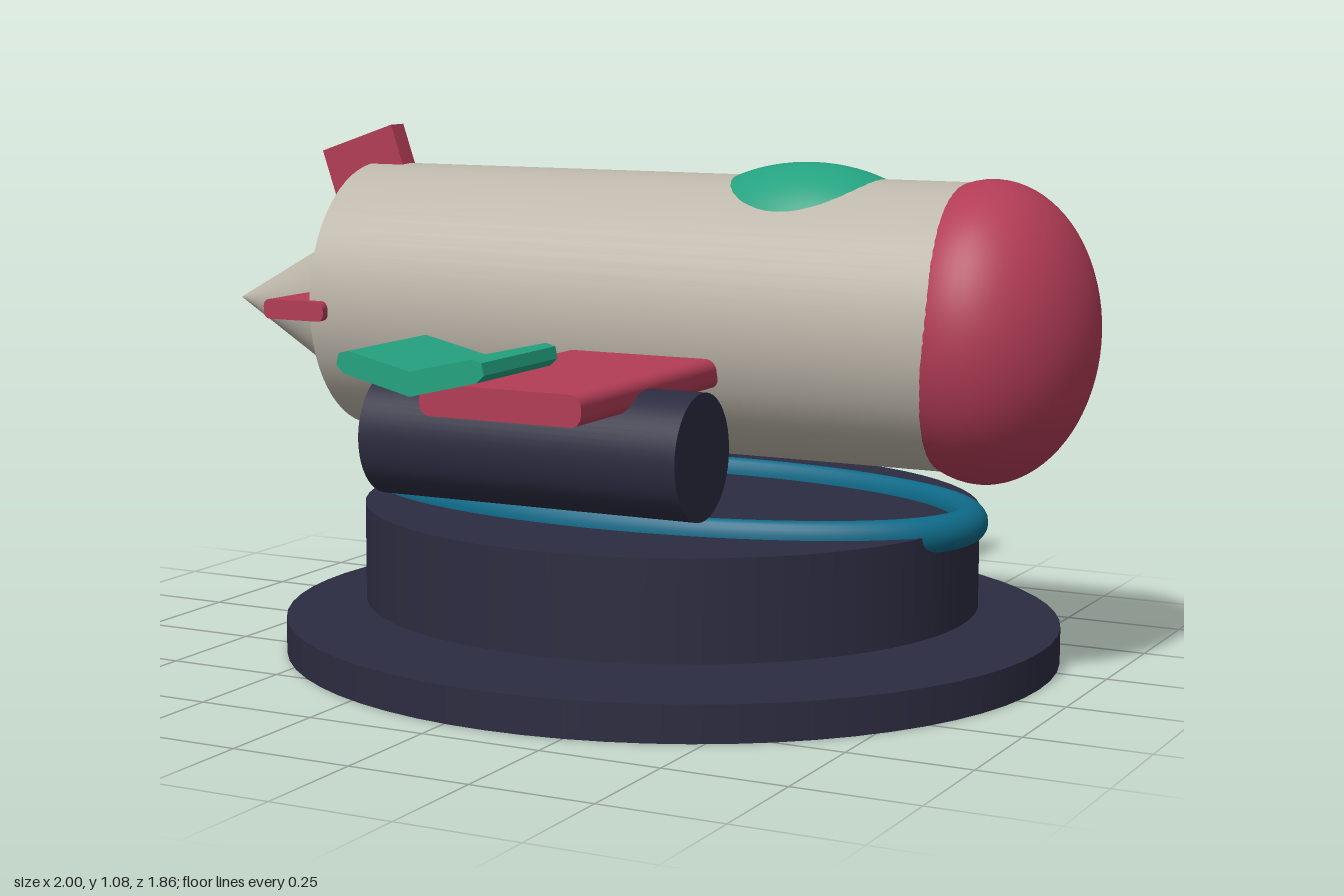
import * as THREE from 'three';

const mat = (name, color) => {
  const m = new THREE.MeshStandardMaterial({ color });
  m.name = name;
  return m;
};

export function createModel() {
  const model = new THREE.Group();
  model.name = 'rocketPlane';
  const cream = mat('cream', 0xbdb6aa);
  const red = mat('red', 0xb23c56);
  const green = mat('green', 0x24a280);
  const navy = mat('navy', 0x2c2c41);
  const blue = mat('blue', 0x0e6a88);
  const cx = 0.09, cz = -0.105; // stand centre, fuselage centre line

  const add = (name, geometry, material, pos, scale = [1, 1, 1]) => {
    const mesh = new THREE.Mesh(geometry, material);
    mesh.name = name;
    mesh.position.set(...pos);
    mesh.scale.set(...scale);
    model.add(mesh);
    return mesh;
  };
  const unitDisc = () => new THREE.CylinderGeometry(1, 1, 1, 64);
  const unitRod = () => unitDisc().rotateZ(Math.PI / 2);
  const ball = () => new THREE.SphereGeometry(1, 64, 40);

  // Plate with a rounded outline, extruded along z and centred
  const roundedBar = (w, h, depth, r) => {
    const s = new THREE.Shape(), x = w / 2, y = h / 2;
    s.absarc(x - r, y - r, r, 0, Math.PI / 2);
    s.absarc(-x + r, y - r, r, Math.PI / 2, Math.PI);
    s.absarc(-x + r, -y + r, r, Math.PI, Math.PI * 1.5);
    s.absarc(x - r, -y + r, r, Math.PI * 1.5, Math.PI * 2);
    return new THREE.ExtrudeGeometry(s, { depth, bevelEnabled: false, curveSegments: 5 })
      .translate(0, 0, -depth / 2);
  };

  // Fuselage, nose, tail cone and canopy
  add('fuselage', unitRod(), cream, [0.095, 0.7125, -0.109], [1.45, 0.2875, 0.276]);
  add('nose', ball(), red, [0.79, 0.707, -0.106], [0.21, 0.301, 0.277]);
  add('tailCone', new THREE.ConeGeometry(1, 1, 64).rotateZ(Math.PI / 2), cream,
    [-0.815, 0.685, -0.11], [0.37, 0.2, 0.19]);
  add('canopy', ball(), green, [0.4, 0.87, -0.108], [0.265, 0.16, 0.185]);

  // Wing and tail fins
  add('wing', roundedBar(0.34, 0.06, 1.645, 0.022), red, [0.15, 0.625, -0.107]);
  add('sideFins', roundedBar(0.15, 0.042, 0.585, 0.015), red, [-0.66, 0.702, -0.108]);
  const fin = add('topFin', new THREE.BoxGeometry(0.187, 0.28, 0.05), red, [-0.621, 0.921, cz]);
  fin.rotation.z = 0.33;

  // Bent vane beyond the wing tip
  const vane = new THREE.Shape([
    [-0.06, 0.712], [-0.045, 0.698], [0.093, 0.665], [0.23, 0.698], [0.245, 0.712],
    [0.24, 0.734], [0.22, 0.739], [0.093, 0.71], [-0.035, 0.739], [-0.055, 0.734],
  ].map(([x, y]) => new THREE.Vector2(x, y)));
  add('vane', new THREE.ExtrudeGeometry(vane, { depth: 0.265, bevelEnabled: false }), green, [0, 0, 0.665]);

  // Pod slung under the wing
  add('pod', unitRod(), navy, [0.092, 0.512, 0.453], [0.685, 0.122, 0.116]);

  // Stand: foot, drum and oval ring
  add('foot', unitDisc(), navy, [cx, 0.0375, cz], [0.818, 0.075, 0.78]);
  add('drum', unitDisc(), navy, [cx, 0.2125, cz], [0.648, 0.205, 0.618]);
  add('ring', new THREE.TorusGeometry(0.655, 0.037, 20, 80).rotateX(Math.PI / 2), blue,
    [cx, 0.313, cz], [1, 1, 0.53]);

  // Struts with wheels
  for (const x of [-0.047, 0.232]) {
    add('strut', new THREE.CylinderGeometry(0.027, 0.027, 0.51, 24), blue, [x, 0.325, 0.108]);
    add('wheel', unitRod(), navy, [x, 0.16, 0.108], [0.05, 0.092, 0.088]);
  }
  return model;
}
